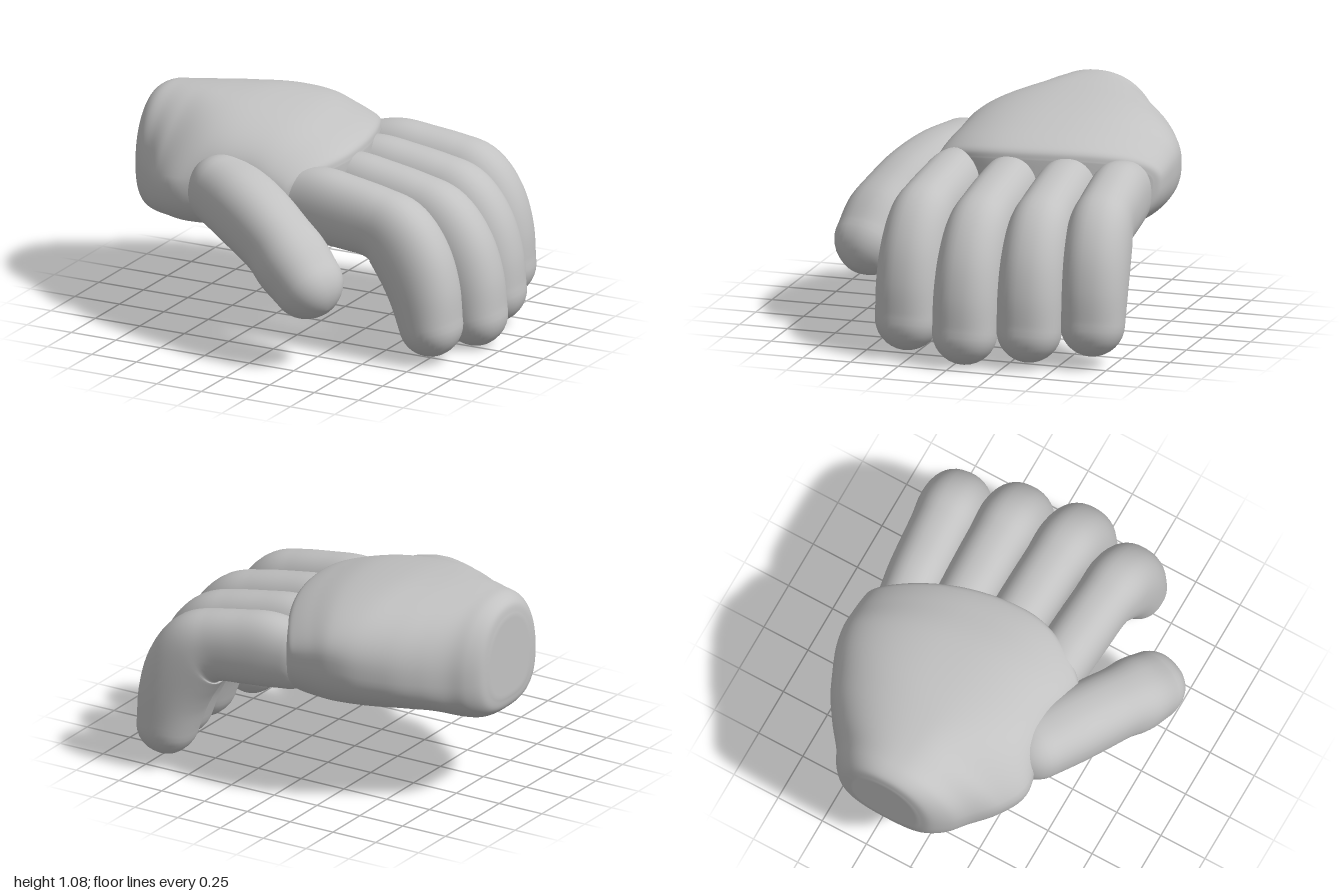
import * as THREE from 'three';

const V = (x, y, z) => new THREE.Vector3(x, y, z);
const SIDES = 40;

// Closed smooth skin over a list of rings, fanned shut at both ends
function loft(rings) {
  const n = rings[0].length, pos = [], idx = [];
  for (const ring of rings) for (const p of ring) pos.push(p.x, p.y, p.z);
  for (let i = 0; i < rings.length - 1; i++) {
    for (let j = 0; j < n; j++) {
      const a = i * n + j, b = i * n + (j + 1) % n;
      idx.push(a, a + n, b, b, a + n, b + n);
    }
  }
  const cap = (start, flip) => {
    const c = V(0, 0, 0), ring = rings[start / n];
    ring.forEach((p) => c.addScaledVector(p, 1 / n));
    const k = pos.length / 3;
    pos.push(c.x, c.y, c.z);
    for (let j = 0; j < n; j++) {
      const a = start + j, b = start + (j + 1) % n;
      idx.push(k, flip ? b : a, flip ? a : b);
    }
  };
  cap(0, false);
  cap((rings.length - 1) * n, true);
  const g = new THREE.BufferGeometry();
  g.setAttribute('position', new THREE.Float32BufferAttribute(pos, 3));
  g.setIndex(idx);
  g.computeVertexNormals();
  return g;
}

const spline = (pts) => new THREE.CatmullRomCurve3(pts, false, 'catmullrom', 0.5);
const power = (v, e) => Math.sign(v) * Math.abs(v) ** e;

// Palm cross-section: arched back, flatter hollow underside, knuckle edge swept back
function palmRing(x, z0, z1, y0, y1) {
  const ring = [], zc = (z0 + z1) / 2, hw = (z1 - z0) / 2;
  const bend = THREE.MathUtils.smoothstep(x, -0.6, 0.15);
  const arch = THREE.MathUtils.smoothstep(x, -0.8, 0.1);
  const ym = y0 + (y1 - y0) * (0.43 + 0.18 * arch);
  const heel = Math.exp(-(((x + 0.68) / 0.18) ** 2));
  const hollow = Math.exp(-(((x + 0.2) / 0.25) ** 2));
  for (let j = 0; j < SIDES * 2; j++) {
    const a = j / SIDES * Math.PI, c = Math.cos(a), s = Math.sin(a);
    const e = s > 0 ? 0.92 - 0.1 * arch : c > 0 ? 0.72 : 0.78;
    let z = zc + hw * power(c, e);
    let y = ym + (s > 0 ? y1 - ym : ym - y0) * power(s, e);
    if (s > 0 && c > 0) z -= 0.2 * heel * s * c;
    if (s < 0) y += 0.03 * hollow * s ** 10;
    ring.push(V(x - bend * z * z * (z > 0 ? 1.1 : 0.45), y, z));
  }
  return ring;
}

function palmGeometry() {
  // x, z from, z to, y from, y to
  const rows = [
    [-1, -0.34, 0.04, 0.55, 0.97], [-0.985, -0.405, 0.11, 0.49, 1.03],
    [-0.93, -0.46, 0.19, 0.45, 1.065], [-0.85, -0.505, 0.26, 0.443, 1.075],
    [-0.74, -0.59, 0.37, 0.463, 1.083], [-0.6, -0.675, 0.44, 0.465, 1.087],
    [-0.4, -0.74, 0.405, 0.455, 1.08], [-0.15, -0.765, 0.38, 0.445, 1.045],
    [0.03, -0.765, 0.395, 0.455, 0.99], [0.13, -0.76, 0.4, 0.475, 0.95],
    [0.17, -0.75, 0.395, 0.51, 0.92], [0.18, -0.72, 0.37, 0.56, 0.88],
  ];
  const zs = spline(rows.map((r) => V(r[0], r[1], r[2])));
  const ys = spline(rows.map((r) => V(r[0], r[3], r[4])));
  const rings = [], N = 66;
  const shrunk = ([x, z0, z1, y0, y1], k) => {
    const zc = (z0 + z1) / 2, yc = (y0 + y1) / 2;
    return palmRing(x, zc + (z0 - zc) * k, zc + (z1 - zc) * k, yc + (y0 - yc) * k, yc + (y1 - yc) * k);
  };
  // Flat wrist end
  rings.push(shrunk(rows[0], 0.3), shrunk(rows[0], 0.93));
  for (let i = 0; i <= N; i++) {
    const a = zs.getPoint(i / N), b = ys.getPoint(i / N);
    rings.push(palmRing(Math.max(a.x, -1), a.y, a.z, b.y, b.z));
  }
  // Knuckle end
  for (const k of [0.8, 0.5, 0.1]) rings.push(shrunk(rows[rows.length - 1], k));
  return loft(rings);
}

// Bent digit with round ends; each row is x, y, z, half width, half thickness
function digitGeometry(rows) {
  const path = spline(rows.map((r) => V(r[0], r[1], r[2])));
  const size = spline(rows.map((r) => V(r[3], r[4], 0)));
  const first = rows[0], last = rows[rows.length - 1];
  const side = V(first[2] - last[2], 0, last[0] - first[0]).normalize();
  const rings = [], N = 40, CAP = 8;
  const add = (t, lift, k) => {
    const p = path.getPoint(t), d = path.getTangent(t), r = size.getPoint(t);
    const s = side.clone().addScaledVector(d, -side.dot(d)).normalize();
    const u = V(0, 0, 0).crossVectors(s, d);
    p.addScaledVector(d, lift * r.x);
    const ring = [];
    for (let j = 0; j < SIDES; j++) {
      const a = j / SIDES * Math.PI * 2;
      ring.push(p.clone().addScaledVector(s, power(Math.cos(a), 0.88) * r.x * k)
        .addScaledVector(u, power(Math.sin(a), 0.88) * r.y * k));
    }
    rings.push(ring);
  };
  const angle = (i) => i / CAP * 1.5;
  for (let i = CAP; i > 0; i--) add(0, -Math.sin(angle(i)), Math.cos(angle(i)));
  for (let i = 0; i <= N; i++) add(i / N, 0, 1);
  for (let i = 1; i <= CAP; i++) add(1, Math.sin(angle(i)), Math.cos(angle(i)));
  return loft(rings);
}

export function createModel() {
  const hand = new THREE.Group();
  hand.name = 'hand';
  const skin = new THREE.MeshStandardMaterial({ color: 0xc2c2c2 });
  skin.name = 'grey skin';
  const part = (name, geometry) => {
    const m = new THREE.Mesh(geometry, skin);
    m.name = name;
    hand.add(m);
  };

  part('palm', palmGeometry());

  // Four fingers share one bend: x, y, half width, half thickness
  const bend = [
    [0, 0.7, 0.138, 0.175], [0.14, 0.705, 0.145, 0.19], [0.3, 0.69, 0.147, 0.185],
    [0.46, 0.668, 0.148, 0.18], [0.575, 0.62, 0.16, 0.195], [0.665, 0.505, 0.166, 0.195],
    [0.728, 0.36, 0.166, 0.178], [0.768, 0.19, 0.16, 0.152],
  ];
  // name, root z, tip z, extra reach, extra tip height
  const fingers = [
    ['indexFinger', 0.245, 0.28, 0, 0], ['middleFinger', -0.05, -0.045, 0.078, -0.027],
    ['ringFinger', -0.325, -0.36, 0.015, -0.005], ['littleFinger', -0.587, -0.655, -0.09, 0.025],
  ];
  for (const [name, z0, z1, reach, lift] of fingers) {
    part(name, digitGeometry(bend.map(([x, y, w, t]) => {
      const k = x / 0.768;
      return [x + reach * k, y + lift * k * k, z0 + (z1 - z0) * k, w, t];
    })));
  }

  part('thumb', digitGeometry([
    [-0.355, 0.735, 0.36, 0.175, 0.182], [-0.2, 0.7, 0.445, 0.18, 0.193],
    [-0.05, 0.645, 0.52, 0.178, 0.193], [0.07, 0.585, 0.575, 0.175, 0.186],
    [0.17, 0.515, 0.615, 0.185, 0.187], [0.27, 0.43, 0.645, 0.175, 0.17],
  ]));
  return hand;
}
